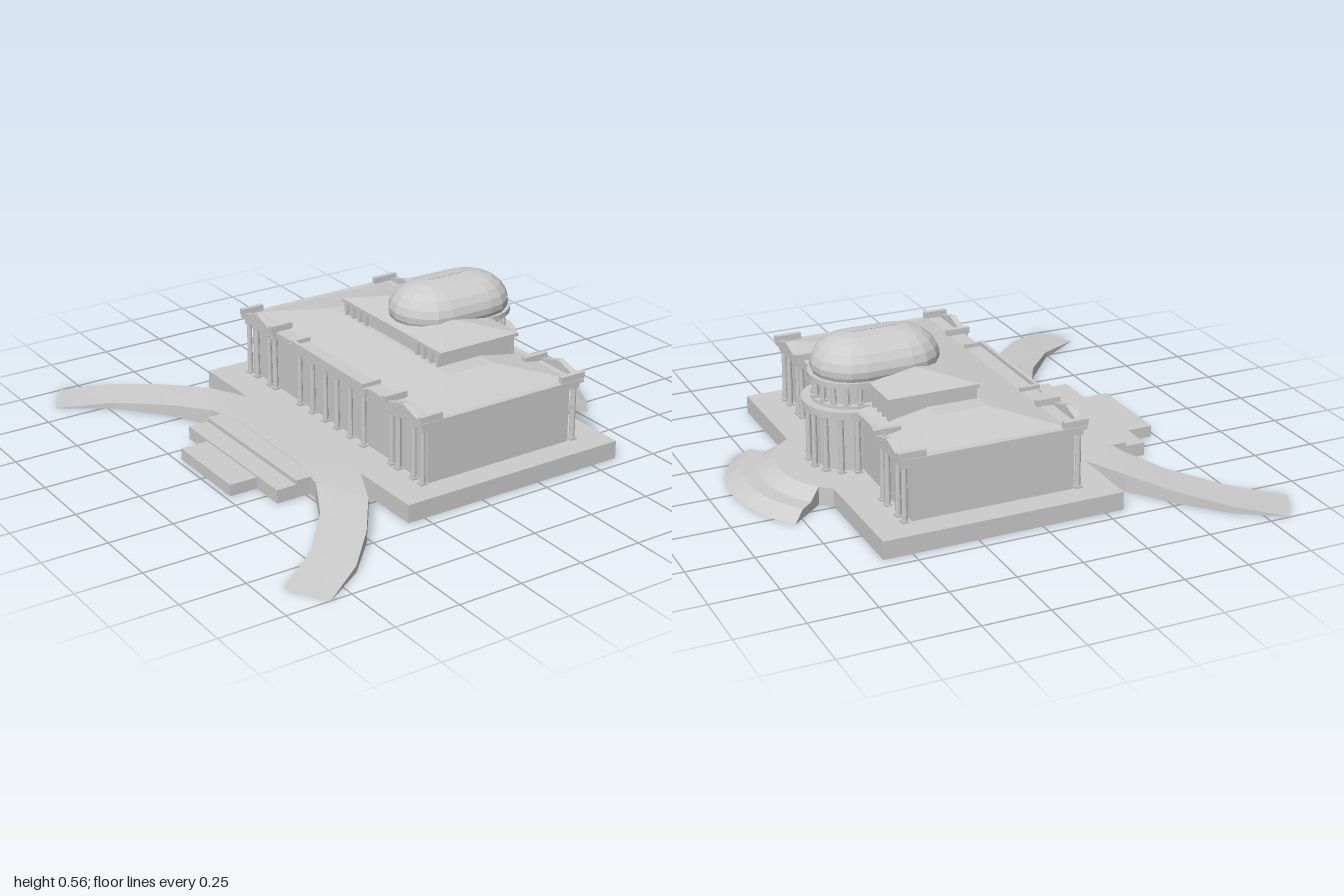
import * as THREE from 'three';

const stone = new THREE.MeshStandardMaterial({ color: 0xcccccc, flatShading: true, side: THREE.DoubleSide });
stone.name = 'pale stone';

export function createModel() {
  const model = new THREE.Group();
  const add = (name, geo, parent = model) => {
    const mesh = new THREE.Mesh(geo, stone);
    mesh.name = name;
    parent.add(mesh);
    return mesh;
  };
  const group = (name) => {
    const g = new THREE.Group();
    g.name = name;
    model.add(g);
    return g;
  };

  // Box given by its limits
  const box = (name, x0, x1, y0, y1, z0, z1, parent) =>
    add(name, new THREE.BoxGeometry(x1 - x0, y1 - y0, z1 - z0), parent)
      .position.set((x0 + x1) / 2, (y0 + y1) / 2, (z0 + z1) / 2);

  // Surface through equal cross-sections
  const loft = (sections, closed = true) => {
    const pos = [];
    for (let s = 0; s + 1 < sections.length; s++) {
      const a = sections[s], b = sections[s + 1], n = a.length;
      for (let i = 0; i < (closed ? n : n - 1); i++) {
        const j = (i + 1) % n;
        pos.push(...a[i], ...a[j], ...b[i], ...a[j], ...b[j], ...b[i]);
      }
    }
    const g = new THREE.BufferGeometry();
    g.setAttribute('position', new THREE.Float32BufferAttribute(pos, 3));
    g.computeVertexNormals();
    return g;
  };

  // Plan outlines hold [x, z] pairs
  const planShape = (pts) => new THREE.Shape(pts.map(([x, z]) => new THREE.Vector2(x, -z)));
  const arc = (cx, r, half, n) => Array.from({ length: n + 1 }, (_, i) => {
    const a = half - (2 * half * i) / n;
    return [cx + r * Math.cos(a), r * Math.sin(a)];
  });
  const slab = (name, pts, y0, y1, parent) => {
    const g = new THREE.ExtrudeGeometry(planShape(pts), { depth: y1 - y0, bevelEnabled: false });
    g.rotateX(-Math.PI / 2);
    g.translate(0, y0, 0);
    return add(name, g, parent);
  };
  const wall = (name, pts, y0, y1, parent) =>
    add(name, loft([pts.map(([x, z]) => [x, y0, z]), pts.map(([x, z]) => [x, y1, z])]), parent);
  const rect = (x0, x1, z) => [[x0, z], [x1, z], [x1, -z], [x0, -z]];
  const column = (x, z, y0, y1, r, parent) => {
    add('columnShaft', new THREE.CylinderGeometry(r * 0.88, r, y1 - y0, 10), parent).position.set(x, (y0 + y1) / 2, z);
    for (const y of [y0 + 0.004, y1 - 0.004]) {
      box('columnBlock', x - r * 1.2, x + r * 1.2, y - 0.004, y + 0.004, z - r * 1.2, z + r * 1.2, parent);
    }
  };

  // Terrace, open beneath, with an opening inside the walls
  const G = 0.07;
  const half = 0.72;
  const body = [...rect(-0.17, 0.46, 0.6).slice(0, 2), ...arc(0.45, 0.13, Math.PI / 2, 12), ...rect(-0.17, 0.46, 0.6).slice(2)];
  const plan = [
    [-0.32, 0.7], [0.61, 0.7], [0.61, 0.24], ...arc(0.42, 0.31, half, 8), [0.61, -0.24], [0.61, -0.7],
    [-0.32, -0.7], [-0.32, -0.4], [-0.46, -0.2], [-0.46, 0.2], [-0.32, 0.4],
  ];
  const terrace = group('terrace');
  wall('terraceWall', plan, 0, G, terrace);
  const topShape = planShape(plan);
  topShape.holes.push(planShape(body));
  const top = new THREE.ShapeGeometry(topShape);
  top.rotateX(-Math.PI / 2);
  top.translate(0, G, 0);
  add('terraceTop', top, terrace);

  // Fan of steps below the rotunda
  const fanProfile = [[0.31, 0], [0.31, G], [0.37, 0.035], [0.43, 0.035], [0.49, 0]];
  const fan = [];
  for (let i = 0; i <= 8; i++) {
    const a = half - (2 * half * i) / 8;
    const sec = (k) => fanProfile.map(([r, y]) => [0.42 + r * Math.cos(a), y * k, r * Math.sin(a)]);
    if (i === 0) fan.push(sec(0));
    fan.push(sec(1));
    if (i === 8) fan.push(sec(0));
  }
  add('fanSteps', loft(fan, false));

  // Curved ramps sweeping down from the terrace
  const outer = [[-0.32, 0.4], [-0.4, 0.57], [-0.52, 0.74], [-0.66, 0.89], [-0.83, 1]];
  const inner = [[-0.46, 0.2], [-0.49, 0.37], [-0.58, 0.54], [-0.73, 0.72], [-0.92, 0.85]];
  const rampY = [0.07, 0.066, 0.046, 0.026, 0.001];
  for (const s of [1, -1]) {
    add('curvedRamp', loft(outer.map(([x, z], i) => {
      const [u, w] = inner[i];
      return [[x, 0, s * z], [x, rampY[i], s * z], [u, rampY[i], s * w], [u, 0, s * w]];
    }), false));
  }

  // Stepped landing
  const landing = group('landing');
  box('lowerStep', -0.73, -0.62, 0, 0.045, -0.18, 0.18, landing);
  box('middleStep', -0.62, -0.54, 0, 0.052, -0.32, 0.32, landing);
  box('upperStep', -0.54, -0.46, 0, 0.068, -0.32, 0.32, landing);

  // Main walls and entablature
  wall('mainWalls', body, G, 0.3);
  const cornicePlan = (e) => [
    [-0.2 - e, 0.61 + e], [0.5 + e, 0.61 + e], [0.5 + e, 0.39 - e], [0.475 + e, 0.39 - e],
    [0.475 + e, 0.165 + e], ...arc(0.45, 0.165 + e, 1.42, 14), [0.475 + e, -0.165 - e],
    [0.475 + e, -0.39 + e], [0.5 + e, -0.39 + e], [0.5 + e, -0.61 - e], [-0.2 - e, -0.61 - e],
    [-0.2 - e, -0.39 + e], [-0.185 - e, -0.39 + e], [-0.185 - e, -0.25 - e], [-0.2 - e, -0.25 - e],
    [-0.2 - e, 0.25 + e], [-0.185 - e, 0.25 + e], [-0.185 - e, 0.39 - e], [-0.2 - e, 0.39 - e],
  ];
  slab('architrave', cornicePlan(0), 0.285, 0.302);
  slab('cornice', cornicePlan(0.01), 0.302, 0.317);

  // Columns of the corner pavilions, rear colonnade and rotunda
  const columns = group('columns');
  for (const s of [1, -1]) {
    for (const z of [0.595, 0.54, 0.445, 0.402]) {
      column(-0.188, s * z, G, 0.286, 0.011, columns);
      column(0.485, s * z, G, 0.286, 0.011, columns);
    }
    for (const z of [0.04, 0.13, 0.22]) column(-0.188, s * z, G, 0.286, 0.011, columns);
  }
  for (const [x, z] of arc(0.45, 0.152, 1.4, 7)) column(x, z, G, 0.286, 0.011, columns);

  // Pavilion gables with corner blocks
  const gables = group('pavilionGables');
  for (const s of [1, -1]) {
    for (const [x0, x1, b0, b1] of [[-0.21, -0.185, -0.215, -0.12], [0.485, 0.51, 0.41, 0.515]]) {
      const tri = (x) => [[x, 0.317, s * 0.62], [x, 0.317, s * 0.38], [x, 0.352, s * 0.5]];
      const mid = (x) => Array(3).fill([x, 0.33, s * 0.5]);
      add('gable', loft([mid(x0), tri(x0), tri(x1), mid(x1)]), gables);
      for (const z of [0.608, 0.39]) {
        box('cornerBlock', b0, b1, 0.317, 0.342, s * z - 0.01, s * z + 0.01, gables);
      }
    }
    box('parapetReturn', -0.21, -0.13, 0.317, 0.333, s * 0.24 - 0.007, s * 0.24 + 0.007, gables);
  }
  box('rearParapet', -0.21, -0.195, 0.317, 0.333, -0.24, 0.24, gables);

  // Main hipped roof, flat on top
  const ring = (x0, x1, z, y) => rect(x0, x1, z).map(([x, w]) => [x, y, w]);
  add('mainRoof', loft([ring(-0.14, 0.47, 0.6, 0.316), ring(0.07, 0.27, 0.39, 0.354), ring(0.17, 0.17, 0.3, 0.354)]));

  // Attic storey and its hipped roof
  const attic = group('attic');
  wall('atticWalls', rect(0.09, 0.41, 0.31), 0.31, 0.405, attic);
  slab('atticCornice', rect(0.075, 0.43, 0.33), 0.403, 0.416, attic);
  add('atticRoof', loft([ring(0.075, 0.43, 0.33, 0.416), ring(0.255, 0.255, 0.15, 0.45)]), attic);
  for (const s of [1, -1]) {
    for (let z = 0.17; z < 0.32; z += 0.045) {
      for (const x of [0.085, 0.415]) {
        box('atticPier', x - 0.008, x + 0.008, 0.316, 0.404, s * z - 0.008, s * z + 0.008, attic);
      }
    }
  }

  // Upper rotunda
  const rotunda = group('upperRotunda');
  wall('rotundaWall', [[0.3, 0.125], ...arc(0.44, 0.125, Math.PI / 2, 14), [0.3, -0.125]], 0.3, 0.41, rotunda);
  slab('rotundaCornice', [[0.3, 0.16], ...arc(0.44, 0.16, Math.PI / 2, 14), [0.3, -0.16]], 0.4, 0.42, rotunda);
  slab('rotundaPlinth', [[0.42, 0.15], ...arc(0.44, 0.15, Math.PI / 2, 14), [0.42, -0.15]], 0.316, 0.328, rotunda);
  for (const [x, z] of arc(0.44, 0.136, 1.45, 8)) column(x, z, 0.328, 0.402, 0.009, rotunda);

  // Elongated dome
  const domeProfile = [[0.15, 0.418], [0.157, 0.435], [0.158, 0.458], [0.148, 0.486], [0.127, 0.514],
    [0.095, 0.537], [0.052, 0.552], [0.001, 0.558]];
  const stadium = (r) => {
    const front = arc(0.433, r, Math.PI / 2, 8);
    return [...front, ...front.map(([x, z]) => [0.69 - x, -z])];
  };
  add('dome', loft(domeProfile.map(([r, y]) => stadium(r).map(([x, z]) => [x, y, z]))));

  return model;
}
